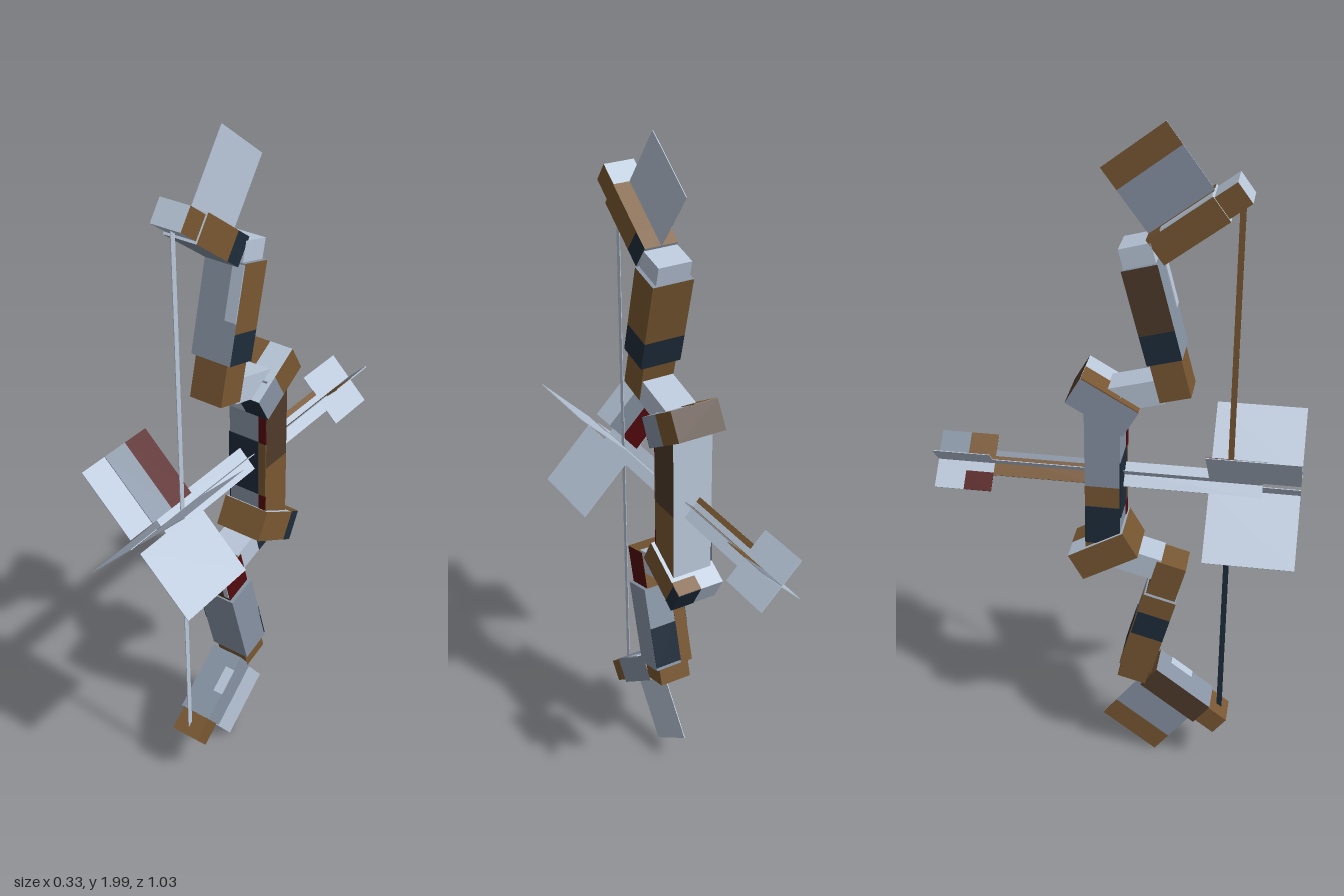
import * as THREE from 'three';

export function createModel() {
  const mat = (name, color) => {
    const m = new THREE.MeshStandardMaterial({ color });
    m.name = name;
    return m;
  };
  const light = mat('paleSteel', 0xb9c7d9);
  const steel = mat('steel', 0x8793a4);
  const brown = mat('wood', 0x785732);
  const dark = mat('darkWood', 0x4f3b2b);
  const slate = mat('slate', 0x1f2c3b);
  const red = mat('darkRed', 0x520a0d);

  const T = 0.002; // thickness of sheets and painted plates
  const model = new THREE.Group();
  const rad = THREE.MathUtils.degToRad;

  const group = (name, parent = model) => {
    const g = new THREE.Group();
    g.name = name;
    parent.add(g);
    return g;
  };
  // Box with one material, or six in the order +x, -x, +y, -y, +z, -z
  const box = (parent, name, size, pos, mats) => {
    const m = new THREE.Mesh(new THREE.BoxGeometry(...size), mats);
    m.name = name;
    m.position.set(...pos);
    parent.add(m);
    return m;
  };
  // Frame tilted about x, placed at (y, z)
  const frame = (parent, name, y, z, deg) => {
    const g = group(name, parent);
    g.position.set(0, y, z);
    g.rotation.x = rad(deg);
    return g;
  };

  // Grip: upper and lower halves, with wrap plates on the front
  const grip = group('grip');
  box(grip, 'gripUpper', [0.123, 0.28, 0.1], [0, 1.125, -0.03], [dark, steel, steel, steel, steel, light]);
  box(grip, 'gripLower', [0.123, 0.25, 0.1], [0, 0.86, -0.03], [brown, brown, steel, steel, steel, light]);
  box(grip, 'gripWrap', [0.1, 0.175, 0.004], [-0.013, 0.978, 0.021], slate);
  box(grip, 'gripSideWrap', [0.004, 0.12, 0.1], [-0.062, 0.86, -0.03], slate);
  box(grip, 'gripEdge', [0.023, 0.175, 0.004], [0.05, 0.978, 0.021], brown);
  box(grip, 'gripEdgeUpper', [0.023, 0.1, 0.004], [0.05, 1.115, 0.021], red);
  box(grip, 'gripEdgeLower', [0.023, 0.05, 0.004], [0.05, 0.865, 0.021], red);

  // Both limbs share their layout; s mirrors it about the arrow's height
  const colours = {
    upper: {
      blockBack: [brown, steel, light, steel, light, dark],
      blockFront: [steel, steel, light, steel, light, dark],
      link: [light, light, light, steel, light, light],
      rootEnd: brown,
      arm: [brown, dark, steel, brown, steel, brown],
      band: [slate, slate, brown, brown, steel, slate],
      tipEnd: light,
      outer: [brown, brown, brown, steel, light, light],
      outerEnd: [slate, brown, brown, steel, light, light],
      tip: [brown, brown, light, light, light, light],
    },
    lower: {
      blockBack: [brown, brown, light, slate, brown, light],
      blockFront: [brown, brown, light, slate, brown, light],
      link: light,
      rootEnd: [red, brown, brown, brown, dark, brown],
      arm: [steel, brown, steel, steel, steel, steel],
      band: [steel, brown, steel, steel, steel, steel],
      tipEnd: brown,
      outer: [steel, dark, steel, brown, brown, brown],
      outerEnd: [steel, dark, steel, brown, brown, brown],
      tip: brown,
    },
  };
  for (const [side, s] of [['upper', 1], ['lower', -1]]) {
    const c = colours[side];
    const limb = group(side + 'Limb');

    // Slanted block at the end of the grip
    const block = frame(limb, side + 'GripBlock', 1 + s * 0.239, -0.029, s * 30);
    box(block, 'blockBack', [0.146, 0.088, 0.095], [0, 0, -0.0435], c.blockBack);
    box(block, 'blockFront', [0.146, 0.088, 0.087], [0, 0, 0.0475], c.blockFront);
    if (s > 0) {
      box(block, 'blockTopInlay', [0.073, 0.004, 0.18], [-0.0365, 0.044, 0], brown);
      box(block, 'blockFrontInlay', [0.073, 0.088, 0.004], [0.0365, 0, 0.09], slate);
    } else {
      box(block, 'blockSideInlay', [0.004, 0.088, 0.035], [0.072, 0, -0.0735], slate);
      box(block, 'blockEndInlay', [0.073, 0.088, 0.004], [0.0365, 0, -0.09], slate);
      box(block, 'blockTopInlay', [0.073, 0.004, 0.045], [0.0365, 0.044, -0.0685], brown);
    }

    // Link from block to limb, set just inside the limb's sides
    const link = frame(limb, side + 'Link', 1 + s * 0.265, 0.049, -s * 15);
    box(link, 'linkBar', [0.096, 0.072, 0.165], [0, 0, 0], c.link);
    if (s < 0) box(link, 'linkInlay', [0.003, 0.07, 0.07], [0.048, 0, -0.042], slate);

    // Main arm: thick sleeve over a narrower core
    const arm = frame(limb, side + 'Arm', 1 + s * 0.478, 0.11, -s * 15);
    box(arm, 'armSleeve', [0.123, 0.184, 0.097], [0, s * 0.073, 0], c.arm);
    box(arm, 'armBand', [0.123, 0.085, 0.097], [0, -s * 0.0615, 0], c.band);
    box(arm, 'coreRoot', [0.1, 0.22, 0.087], [0, -s * 0.11, 0], c.rootEnd);
    box(arm, 'coreTip', [0.1, 0.22, 0.087], [0, s * 0.11, 0], c.tipEnd);
    if (s > 0) {
      box(arm, 'armStreak', [0.035, 0.15, 0.004], [0.043, 0.085, 0.049], light);
    } else {
      box(arm, 'armBackPatch', [0.085, 0.13, 0.004], [0.019, -0.09, -0.0485], slate);
      box(arm, 'armBackStrip', [0.038, 0.265, 0.004], [-0.0425, -0.0325, -0.0485], brown);
      box(arm, 'armSidePatch', [0.004, 0.08, 0.097], [-0.0615, 0.0, 0], slate);
      box(arm, 'rootStreak', [0.016, 0.09, 0.004], [0.041, 0.16, 0.0435], light);
    }

    // Outer arm, tip block and flat fin
    const outer = frame(limb, side + 'OuterArm', 1 + s * 0.738, 0.188, -s * 37);
    box(outer, 'outerBar', [0.1, 0.08, 0.15], [0, 0, 0.027], c.outer);
    box(outer, 'outerEnd', [0.1, 0.08, 0.055], [0, 0, -0.0755], c.outerEnd);
    box(outer, 'tipBlock', [0.09, 0.066, 0.07], [0, 0, 0.137], c.tip);
    const finSide = (far) => [light, far, light, light, light, light];
    box(outer, 'finInner', [T, 0.136, 0.206], [0, s * 0.108, 0], finSide(steel));
    box(outer, 'finOuter', [T, 0.07, 0.206], [0, s * 0.211, 0], finSide(brown));
    if (s > 0) box(outer, 'outerStrip', [0.03, 0.004, 0.16], [-0.036, 0.04, 0.022], light);
    else box(outer, 'outerStrip', [0.03, 0.004, 0.08], [0.036, 0.04, -0.02], light);
  }

  // Flat string
  const string = group('string');
  box(string, 'stringUpper', [T, 0.81, 0.016], [0, 1.405, 0.319], [light, brown, light, light, light, light]);
  box(string, 'stringLower', [T, 0.81, 0.016], [0, 0.595, 0.319], [light, slate, light, light, light, light]);

  // Arrow made of crossed sheets: shaft, head and four vanes
  const arrow = group('arrow');
  arrow.position.y = 0.998;
  for (const deg of [45, 135]) {
    const plane = group('arrowPlane' + deg, arrow);
    plane.rotation.z = rad(deg);
    box(plane, 'shaft', [0.072, T, 0.76], [0, 0, 0.03], light);
    box(plane, 'head', [0.168, T, 0.165], [0, 0, -0.4325], light);
    for (const s of [-1, 1]) box(plane, 'vane', [0.212, T, 0.253], [s * 0.127, 0, 0.389], light);
    if (deg === 45) {
      // Painted upper face of the rear shaft and head
      box(plane, 'shaftPaint', [0.056, T, 0.3], [-0.008, T, -0.2], brown);
      box(plane, 'shaftEdge', [0.016, T, 0.3], [0.028, T, -0.2], steel);
      box(plane, 'headWoodPatch', [0.084, T, 0.08], [0.042, T, -0.39], brown);
      box(plane, 'headSteelPatch', [0.084, T, 0.085], [0.042, T, -0.4725], steel);
      box(plane, 'headRedPatch', [0.055, T, 0.08], [-0.0565, T, -0.39], red);
    } else {
      // Bands across the upper right vane, and a thin line along the shaft
      box(plane, 'vaneBand', [0.212, T, 0.085], [0.127, -T, 0.305], red);
      box(plane, 'vaneSteelBand', [0.212, T, 0.08], [0.127, -T, 0.3875], steel);
      box(plane, 'shaftLine', [0.016, T, 0.3], [0.028, -T, -0.2], brown);
    }
  }
  return model;
}
